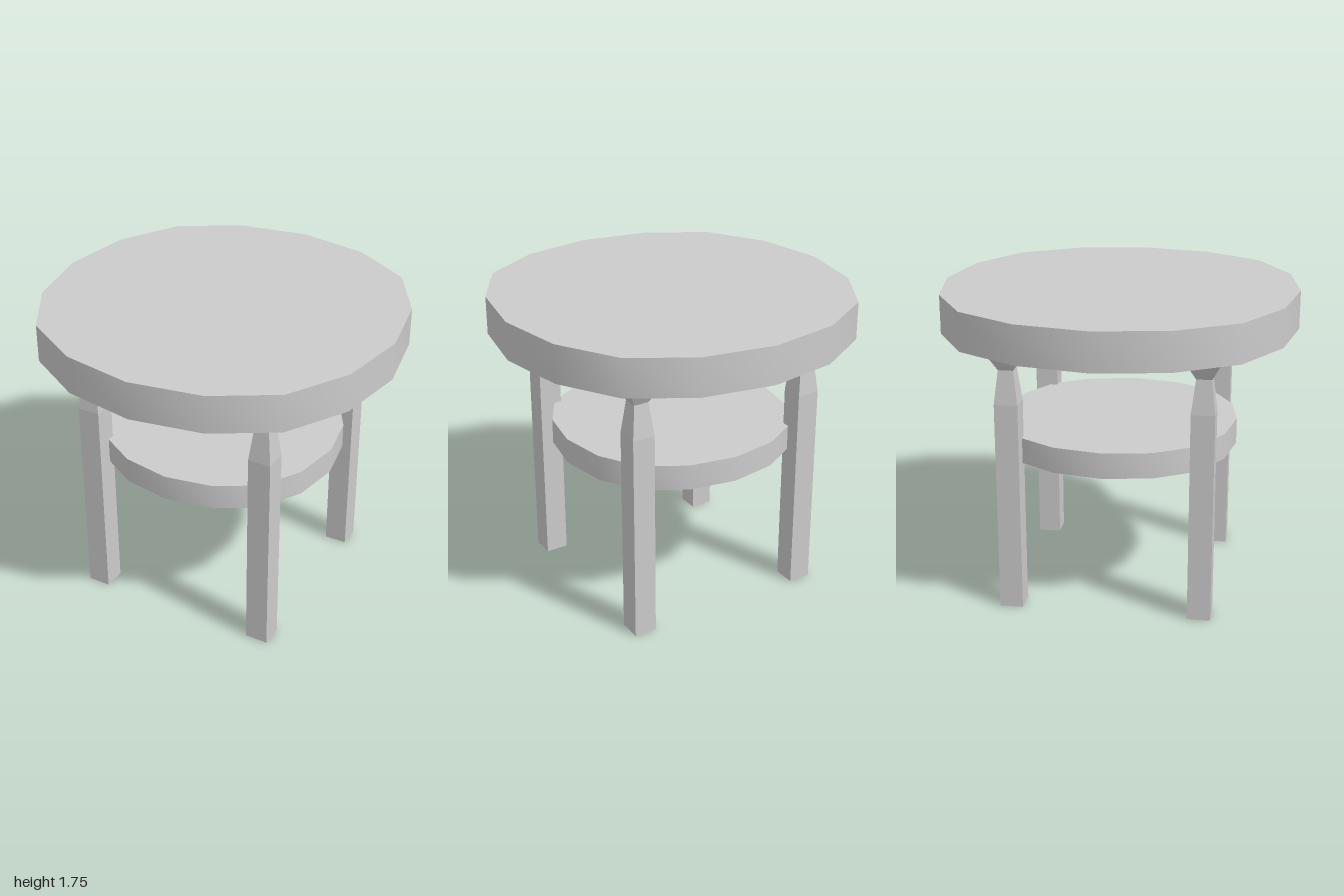
import * as THREE from 'three';
import { toCreasedNormals } from 'three/addons/utils/BufferGeometryUtils.js';

// One quarter of the sixteen-sided, slightly squared outline (unit radius)
const QUARTER = [[1, 0], [0.93, 0.4], [0.733, 0.733], [0.4, 0.93]];

// Horizontal slab with smooth rim and sharp top and bottom edges
function slab(radius, bottom, top) {
  const points = [];
  for (let q = 0; q < 4; q++) {
    for (const [x, y] of QUARTER) {
      points.push(new THREE.Vector2(x, y).rotateAround(new THREE.Vector2(), q * Math.PI / 2).multiplyScalar(radius));
    }
  }
  const geometry = new THREE.ExtrudeGeometry(new THREE.Shape(points), { depth: top - bottom, bevelEnabled: false });
  geometry.rotateX(-Math.PI / 2).translate(0, bottom, 0);
  return toCreasedNormals(geometry, Math.PI / 6);
}

// Square leg from [half width, height] steps: straight post, narrow neck, flared head
function legGeometry() {
  const steps = [[0, 0], [0.065, 0], [0.065, 1.2], [0.042, 1.39], [0.116, 1.53], [0, 1.53]];
  const profile = steps.map(([half, y]) => new THREE.Vector2(half * Math.SQRT2, y));
  return new THREE.LatheGeometry(profile, 4).rotateY(Math.PI / 4);
}

export function createModel() {
  const model = new THREE.Group();
  model.name = 'roundTable';
  const smooth = new THREE.MeshStandardMaterial({ color: 0xcccccc });
  const flat = new THREE.MeshStandardMaterial({ color: 0xcccccc, flatShading: true });

  function add(name, geometry, material, x = 0, z = 0) {
    const mesh = new THREE.Mesh(geometry, material);
    mesh.name = name;
    mesh.position.set(x, 0, z);
    model.add(mesh);
  }

  add('tableTop', slab(1, 1.53, 1.745), smooth);
  add('lowerShelf', slab(0.672, 0.84, 0.985), smooth);

  // Four legs, mirrored across both axes
  const leg = legGeometry();
  for (const [side, sx] of [['Left', 1], ['Right', -1]]) {
    for (const [end, sz] of [['front', 1], ['back', -1]]) {
      add(`${end}${side}Leg`, leg, flat, sx * 0.531, sz * 0.531);
    }
  }
  return model;
}
